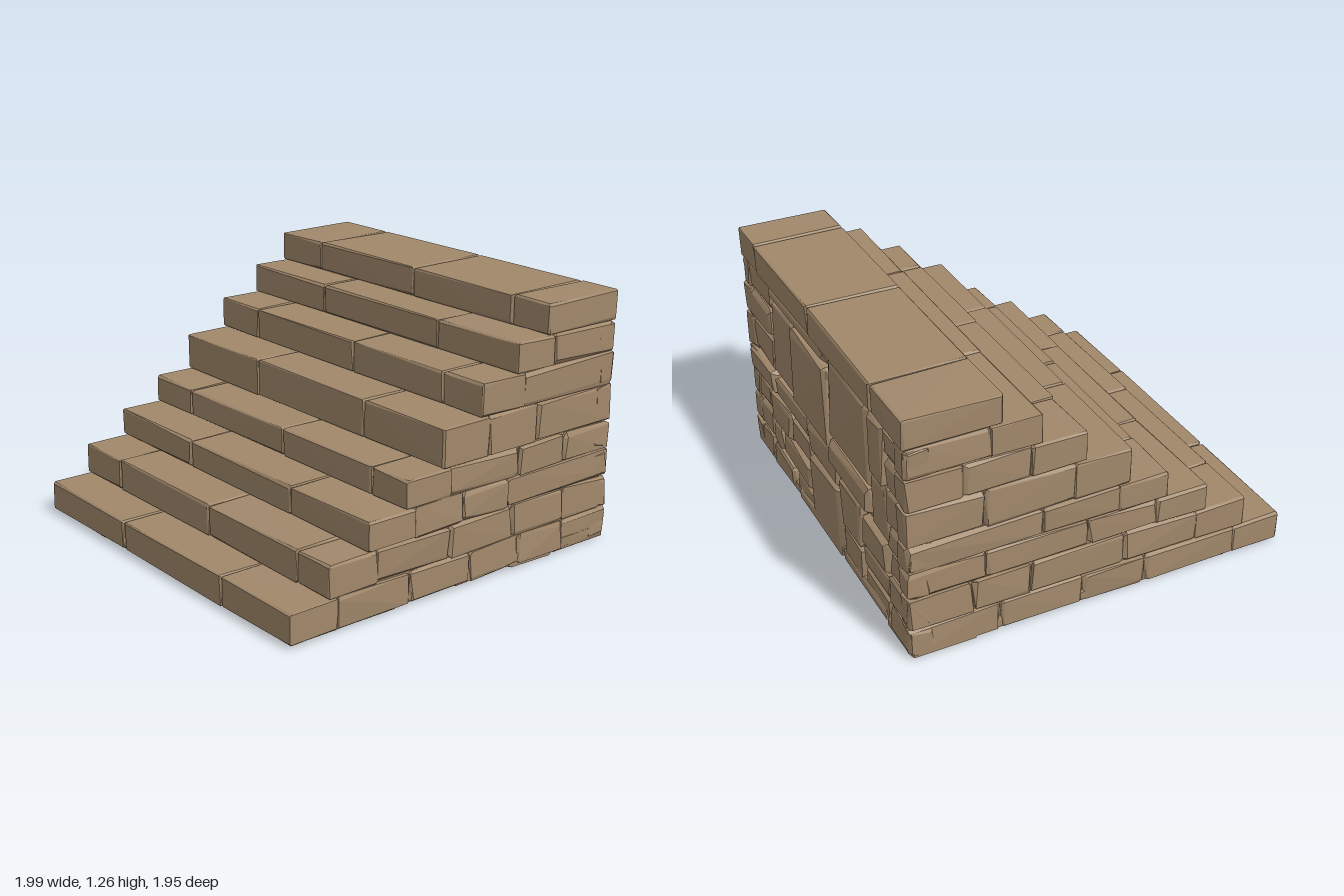
import * as THREE from 'three';
import { ConvexGeometry } from 'three/addons/geometries/ConvexGeometry.js';

// height of each tread, front edge of each riser, and joints between its blocks
const TOPS = [0.17, 0.33, 0.47, 0.61, 0.8, 0.96, 1.11, 1.26];
const FRONTS = [0.98, 0.77, 0.55, 0.335, 0.13, -0.1, -0.315, -0.505];
const JOINTS = [
  [-0.31, 0.49], [-0.67, 0.1, 0.77], [-0.36, 0.44], [-0.67, 0.1, 0.75],
  [-0.37, 0.45], [-0.68, 0.09, 0.73], [-0.4, 0.46], [-0.66, 0.07, 0.76],
];
const BASE = 0.02, BACK = -0.97, SIDE = 0.995;

export function createModel() {
  const group = new THREE.Group();
  const sandstone = new THREE.MeshStandardMaterial({ color: 0xa1886b, flatShading: true });
  sandstone.name = 'sandstone';

  let seed = 11;
  const rand = () => {
    seed = (seed * 16807) % 2147483647;
    return seed / 2147483647;
  };

  // hewn block: a box with uneven chamfers, worn inwards by up to `wear`
  function stone(parent, name, min, max, chamfer, wear) {
    const points = [];
    for (let corner = 0; corner < 8; corner++) {
      for (let face = 0; face < 3; face++) {
        const p = [0, 1, 2].map((axis) => {
          const high = (corner >> axis) & 1;
          const inset = axis === face ? wear * rand() : chamfer * (0.4 + 1.2 * rand());
          const limited = Math.min(inset, (max[axis] - min[axis]) * 0.4);
          return high ? max[axis] - limited : min[axis] + limited;
        });
        points.push(new THREE.Vector3(...p));
      }
    }
    const mesh = new THREE.Mesh(new ConvexGeometry(points), sandstone);
    mesh.name = name;
    parent.add(mesh);
  }

  function section(name) {
    const part = new THREE.Group();
    part.name = name;
    group.add(part);
    return part;
  }

  // solid stepped core seen at the bottom of the joints
  const gap = 0.025;
  const profile = new THREE.Shape();
  profile.moveTo(BACK + 0.045, BASE + 0.01);
  profile.lineTo(FRONTS[0] - gap, BASE + 0.01);
  TOPS.forEach((top, i) => {
    profile.lineTo(FRONTS[i] - gap, top - gap);
    if (i < 7) profile.lineTo(FRONTS[i + 1] - gap, top - gap);
  });
  profile.lineTo(BACK + 0.045, TOPS[7] - gap);
  const halfCore = SIDE - 0.025;
  const coreGeometry = new THREE.ExtrudeGeometry(profile, { depth: halfCore * 2, bevelEnabled: false });
  coreGeometry.translate(0, 0, -halfCore).rotateY(-Math.PI / 2);
  const core = new THREE.Mesh(coreGeometry, sandstone);
  core.name = 'core';
  group.add(core);

  // treads, the topmost running right through to the back
  TOPS.forEach((top, i) => {
    const step = section('step' + (i + 1));
    const bottom = i ? TOPS[i - 1] : BASE;
    const back = i < 7 ? FRONTS[i + 1] - 0.06 : BACK;
    const edges = [-SIDE, ...JOINTS[i], SIDE];
    for (let k = 0; k + 1 < edges.length; k++) {
      stone(step, 'treadBlock', [edges[k], bottom, back], [edges[k + 1], top, FRONTS[i]], 0.011, 0.005);
    }
  });

  // side walls, coursed level with the treads
  for (const side of [-1, 1]) {
    const wall = section(side > 0 ? 'leftWall' : 'rightWall');
    for (let i = 0; i < 7; i++) {
      const bottom = i ? TOPS[i - 1] : BASE;
      let z = FRONTS[i + 1] - 0.05;
      while (z > BACK + 0.02) {
        let next = z - 0.28 - 0.24 * rand();
        if (next < BACK + 0.18) next = BACK + 0.005;
        const x = [side * 0.88, side * SIDE].sort((a, b) => a - b);
        stone(wall, 'wallStone', [x[0], bottom - 0.004, next - 0.004], [x[1], TOPS[i] + 0.004, z + 0.004], 0.018, 0.012);
        z = next;
      }
    }
  }

  // back wall of mixed rubble: [x0, x1, y0, y1]
  const backWall = section('backWall');
  const rubble = [
    [-0.58, -0.1, 0.66, 1.1], [-0.1, 0.34, 0.6, 1.03], [0.34, 0.63, 0.62, 1.03],
    [-0.1, 0.63, 1.03, 1.12], [-0.76, -0.58, 0.78, 1.1], [-0.76, -0.58, 0.48, 0.78],
    [-0.58, -0.1, 0.52, 0.66], [-0.46, -0.2, 0.24, 0.52], [-0.76, -0.46, 0.3, 0.48],
    [-0.2, 0.18, 0.02, 0.42], [-0.2, 0.18, 0.42, 0.6], [0.18, 0.63, 0.47, 0.6],
    [0.18, 0.44, 0.32, 0.47], [0.44, 0.72, 0.3, 0.47], [0.18, 0.58, 0.16, 0.31],
    [0.18, 0.42, 0.02, 0.16], [0.42, 0.72, 0.02, 0.16], [0.58, 0.72, 0.16, 0.3],
    [-0.76, -0.46, 0.17, 0.3], [-0.46, -0.2, 0.02, 0.24], [-0.76, -0.46, 0.02, 0.17],
  ];
  // quoins closing both ends of the wall
  for (let i = 0; i < 7; i++) {
    const bottom = i ? TOPS[i - 1] : BASE;
    rubble.push([-SIDE, -0.76, bottom, TOPS[i]]);
    rubble.push([bottom > 0.45 ? 0.63 : 0.72, SIDE, bottom, TOPS[i]]);
  }
  for (const [x0, x1, y0, y1] of rubble) {
    const proud = BACK - 0.008 + 0.02 * rand();
    stone(backWall, 'rubbleStone', [x0, y0, proud], [x1, y1, BACK + 0.13], 0.024, 0.012);
  }

  // underside paving, rows of staggered slabs
  const underside = section('underside');
  const rows = [-0.965, -0.62, -0.3, 0.04, 0.36, 0.68, 0.975];
  for (let r = 0; r < 6; r++) {
    const edges = r % 2 ? [-0.99, -0.5, 0.12, 0.6, 0.99] : [-0.99, -0.72, -0.2, 0.38, 0.99];
    for (let k = 0; k < 4; k++) {
      const low = 0.003 + 0.01 * rand();
      stone(underside, 'slab', [edges[k], low, rows[r]], [edges[k + 1], 0.09, rows[r + 1]], 0.02, 0.012);
    }
  }

  return group;
}
